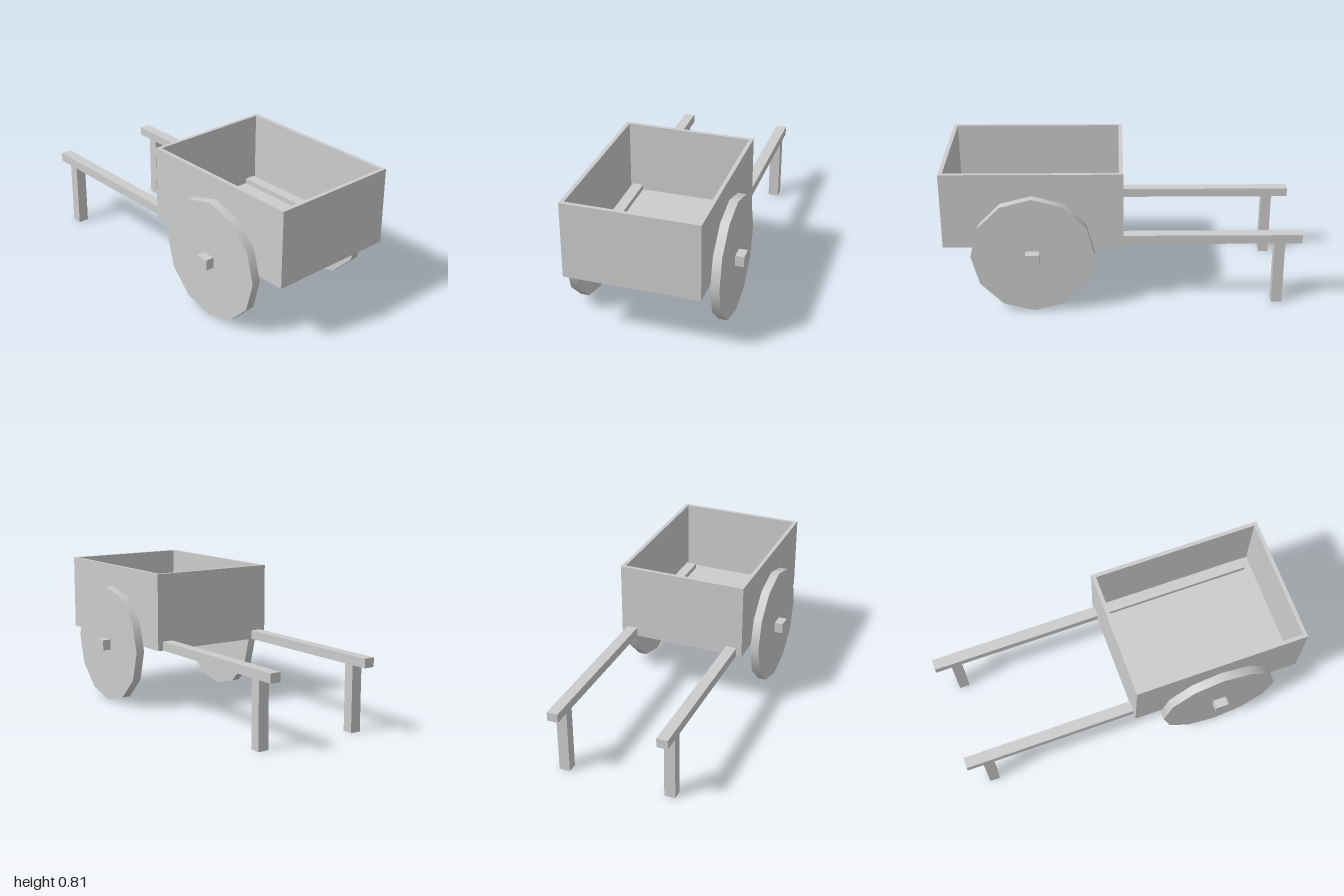
import * as THREE from 'three';

export function createModel() {
  const cart = new THREE.Group();
  cart.name = 'handcart';
  const grey = new THREE.MeshStandardMaterial({ color: 0xcccccc });
  grey.name = 'plain grey';

  // Box given by its lower and upper corner
  const box = (name, [x0, y0, z0], [x1, y1, z1]) => {
    const mesh = new THREE.Mesh(new THREE.BoxGeometry(x1 - x0, y1 - y0, z1 - z0), grey);
    mesh.position.set((x0 + x1) / 2, (y0 + y1) / 2, (z0 + z1) / 2);
    mesh.name = name;
    cart.add(mesh);
  };

  // Open tray: a rectangular ring of walls with a floor inside
  const W = 0.375, T = 0.022, BOTTOM = 0.375, TOP = 0.813;
  const outline = new THREE.Shape([[-W, 0], [W, 0], [W, 1], [-W, 1]].map(p => new THREE.Vector2(...p)));
  outline.holes.push(new THREE.Path(
    [[-W + T, T], [-W + T, 1 - T], [W - T, 1 - T], [W - T, T]].map(p => new THREE.Vector2(...p))));
  const wallGeometry = new THREE.ExtrudeGeometry(outline, { depth: TOP - BOTTOM, bevelEnabled: false });
  wallGeometry.rotateX(Math.PI / 2);
  const walls = new THREE.Mesh(wallGeometry, grey);
  walls.position.y = TOP;
  walls.name = 'trayWalls';
  cart.add(walls);
  box('trayFloor', [-W + T, BOTTOM, T], [W - T, BOTTOM + 0.022, 1 - T]);

  // Square axle below the tray
  box('axle', [-0.475, 0.313, 0.46], [0.475, 0.375, 0.538]);

  // Twelve-sided wheels
  const wheelGeometry = new THREE.CylinderGeometry(0.344, 0.344, 0.05, 12);
  wheelGeometry.rotateZ(Math.PI / 2);

  for (const side of [-1, 1]) {
    const label = side > 0 ? 'left' : 'right';
    const wheel = new THREE.Mesh(wheelGeometry, grey);
    wheel.position.set(side * 0.4, 0.344, 0.5);
    wheel.name = label + 'Wheel';
    cart.add(wheel);

    // Long shaft running through the tray, and its prop leg
    const x0 = side > 0 ? 0.28 : -0.343, x1 = x0 + 0.063;
    box(label + 'Shaft', [x0, 0.375, -1], [x1, 0.427, 0.935]);
    box(label + 'Leg', [x0, 0, -0.905], [x1, 0.375, -0.845]);
  }
  return cart;
}
